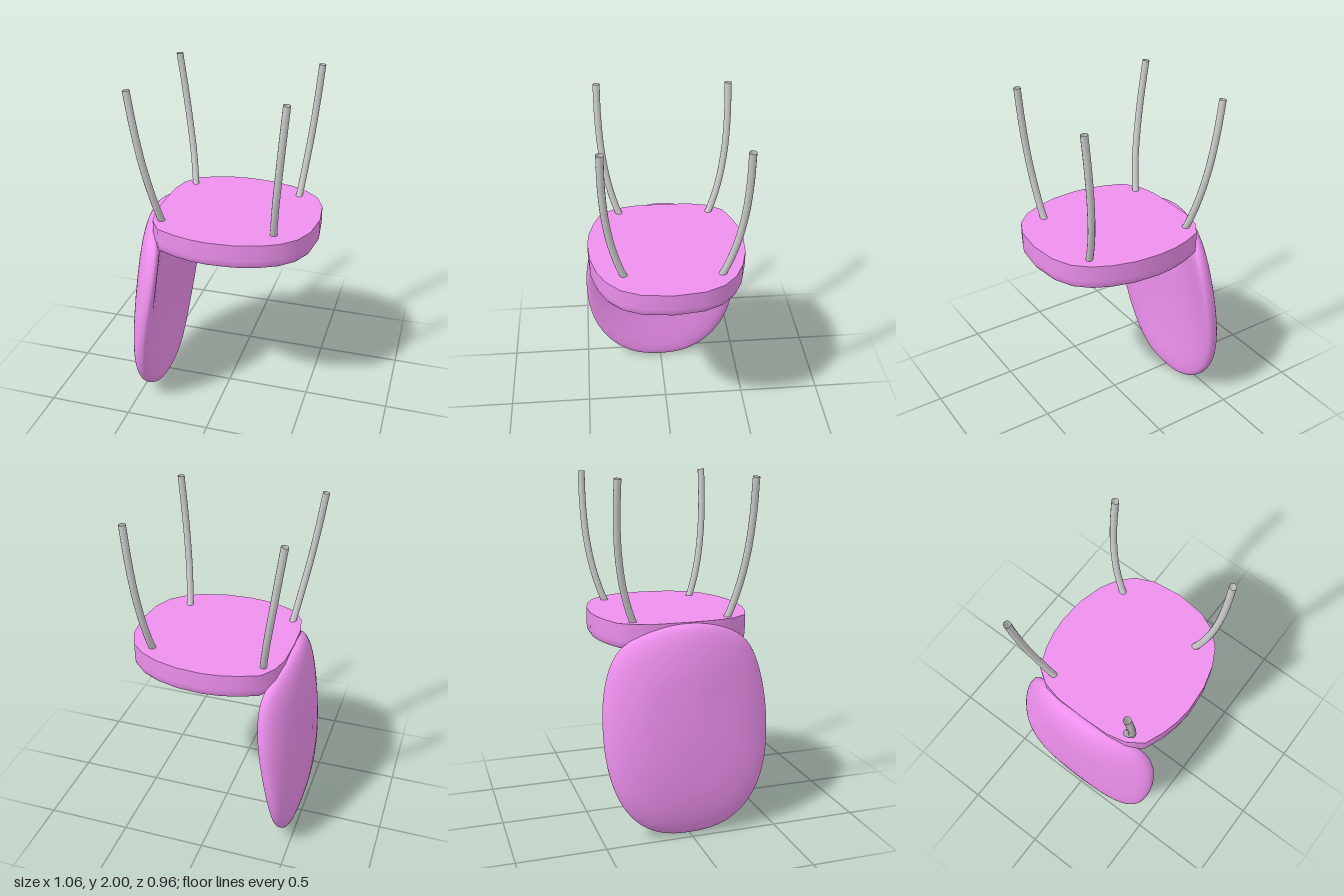
import * as THREE from 'three';
import { mergeVertices, toCreasedNormals } from 'three/addons/utils/BufferGeometryUtils.js';

const pink = new THREE.MeshStandardMaterial({ color: 0xee90ee });
const grey = new THREE.MeshStandardMaterial({ color: 0xcccccc, side: THREE.DoubleSide });

// Half of the seat outline as [x, z], mirrored across z
const SEAT_HALF = [
  [0.53, 0], [0.51, 0.17], [0.46, 0.28], [0.38, 0.355], [0.28, 0.405], [0.15, 0.44], [0, 0.45],
  [-0.1, 0.44], [-0.2, 0.415], [-0.31, 0.37], [-0.37, 0.28], [-0.395, 0.17], [-0.4, 0],
];

// Disc following the outline, crisp on top and softly rounded underneath
function makeSeat() {
  const outline = [
    ...SEAT_HALF.map(([x, z]) => [x, -z]),
    ...SEAT_HALF.slice(1, -1).reverse(),
  ];
  const profile = [[0, 1.08], [0.93, 1.08], [0.975, 1.086], [0.994, 1.1], [1, 1.13], [1, 1.225], [0, 1.225]]
    .map(([r, y]) => new THREE.Vector2(r, y));
  const geometry = new THREE.LatheGeometry(profile, outline.length);
  const pos = geometry.attributes.position;
  for (let i = 0; i < pos.count; i++) {
    const [x, z] = outline[Math.floor(i / profile.length) % outline.length];
    const r = profile[i % profile.length].x;
    pos.setX(i, 0.065 + (x - 0.065) * r);
    pos.setZ(i, z * r);
  }
  const seat = new THREE.Mesh(toCreasedNormals(geometry, 0.9), pink);
  seat.name = 'seat';
  return seat;
}

// Reciprocal radius of the backrest outline in direction (c, d): superellipse below,
// ellipse sides meeting a shallow arched top edge above
function outlineNorm(c, d) {
  if (d <= 0) return (Math.abs(c) ** 2.4 + Math.abs(d) ** 2.4) ** (1 / 2.4);
  const sides = Math.sqrt(c * c + 0.605 * d * d);
  const top = (d + Math.sqrt(d * d + 1.364 * c * c)) / 2;
  return (sides ** 20 + top ** 20) ** (1 / 20);
}

// Padded shell of even thickness with a rounded rim, bowed around the seat
function makeBackrest() {
  const profile = [];
  const steps = 32;
  for (let i = 0; i <= steps; i++) {
    const a = -Math.PI / 2 + (Math.PI * i) / steps;
    const r = i === 0 || i === steps ? 0 : Math.cos(a) ** 0.3;
    profile.push(new THREE.Vector2(r, Math.sign(a) * Math.abs(Math.sin(a)) ** 0.8));
  }
  let geometry = new THREE.LatheGeometry(profile, 96);
  const pos = geometry.attributes.position;
  for (let i = 0; i < pos.count; i++) {
    const u = pos.getX(i), v = pos.getZ(i), side = pos.getY(i);
    const angle = Math.atan2(v, u);
    const c = Math.cos(angle), d = Math.sin(angle);
    const k = Math.hypot(u, v) / outlineNorm(c, d);
    const z = 0.48 * c * k;
    const y = 0.66 + d * k * (d > 0 ? 0.56 : 0.655);
    const spine = -0.473 + 0.14 * (y - 0.55) ** 2;
    const bow = 0.62 * y * z * z;
    pos.setXYZ(i, spine + bow + 0.063 * side, y, z);
  }
  geometry.deleteAttribute('uv');
  geometry.deleteAttribute('normal');
  geometry = mergeVertices(geometry, 1e-4);
  geometry.computeVertexNormals();
  const backrest = new THREE.Mesh(geometry, pink);
  backrest.name = 'backrest';
  return backrest;
}

// Thin tube that flares sideways near the seat, then runs nearly straight
function makeLeg(name, [x0, z0], [x1, z1]) {
  const at = (y, fx, fz) => new THREE.Vector3(x0 + (x1 - x0) * fx, y, z0 + (z1 - z0) * fz);
  const path = new THREE.CatmullRomCurve3([
    at(1.16, -0.06, -0.28), at(1.22, 0.03, 0.05), at(1.4, 0.27, 0.57),
    at(1.6, 0.54, 0.88), at(1.8, 0.78, 1), at(1.998, 1, 1),
  ]);
  const leg = new THREE.Mesh(new THREE.TubeGeometry(path, 24, 0.02, 12), grey);
  leg.name = name;
  return leg;
}

export function createModel() {
  const chair = new THREE.Group();
  chair.name = 'upturnedChair';
  chair.add(
    makeSeat(),
    makeBackrest(),
    makeLeg('frontLegLeft', [0.32, 0.25], [0.395, 0.355]),
    makeLeg('frontLegRight', [0.345, -0.275], [0.43, -0.39]),
    makeLeg('rearLegLeft', [-0.32, 0.25], [-0.455, 0.355]),
    makeLeg('rearLegRight', [-0.295, -0.275], [-0.42, -0.39]),
  );
  return chair;
}
